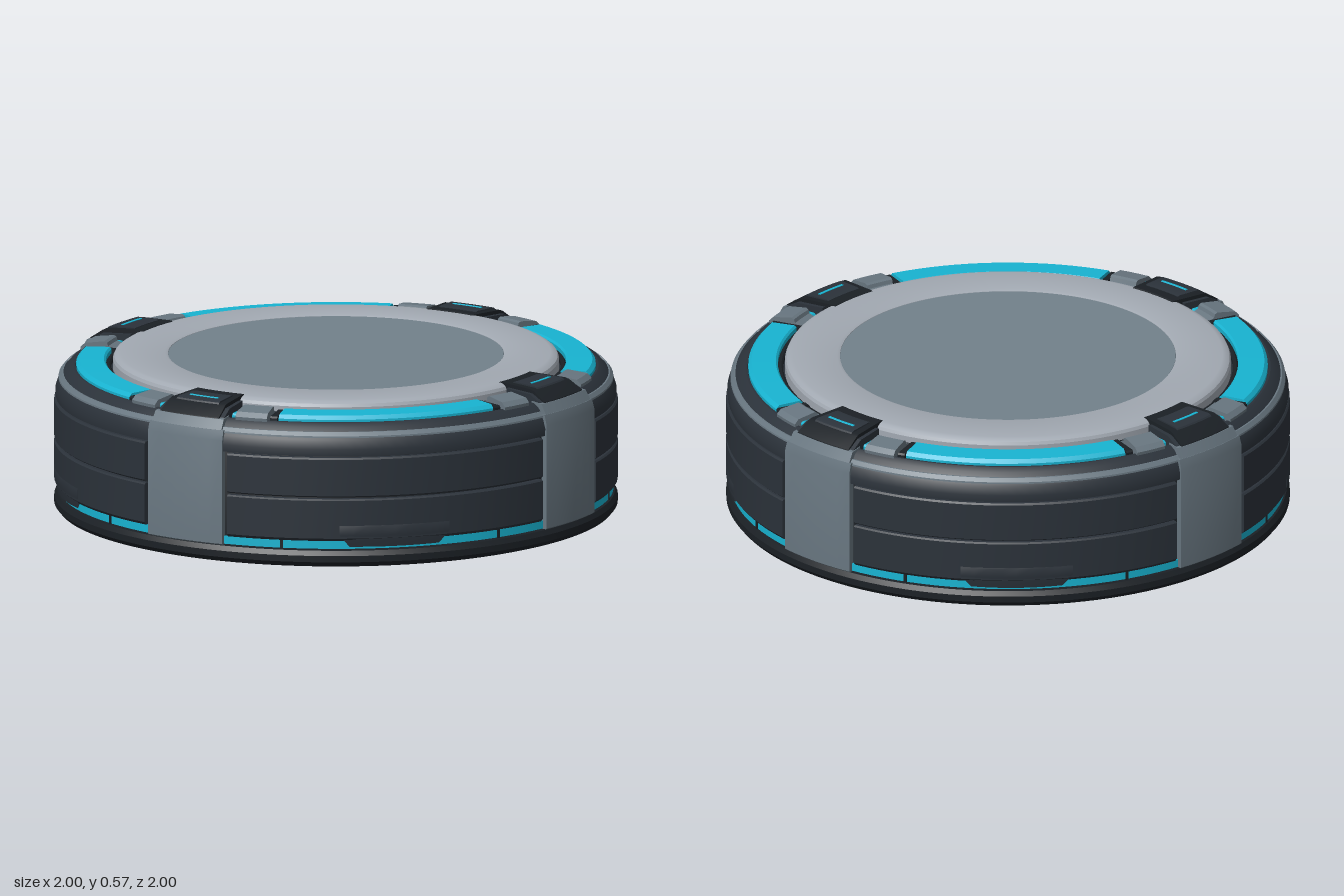
import * as THREE from 'three';
import { toCreasedNormals } from 'three/addons/utils/BufferGeometryUtils.js';

const material = (color) => new THREE.MeshStandardMaterial({ color });
const DARK = material(0x2b323a), BLACK = material(0x1b2025), STEEL = material(0x687680),
  SILVER = material(0xa2a9b2), DISC = material(0x72818b), CYAN = material(0x18b4d2);
const rad = THREE.MathUtils.degToRad;

function mesh(name, geometry, mat) {
  const m = new THREE.Mesh(geometry, mat);
  m.name = name;
  return m;
}

// Full ring or solid of revolution; profile of [radius, height] runs bottom to top
function turned(name, profile, mat) {
  const points = profile.map(([r, y]) => new THREE.Vector2(r, y));
  return mesh(name, toCreasedNormals(new THREE.LatheGeometry(points, 128), 0.4), mat);
}

// Closed [radius, height] profile swept about y; angle is measured from +z, in degrees
function sector(name, profile, angle, half, mat) {
  const shape = new THREE.Shape(profile.map(([r, y]) => new THREE.Vector2(r, y)));
  const sweep = rad(half * 2);
  const geometry = new THREE.ExtrudeGeometry(shape, {
    depth: sweep, steps: Math.max(2, Math.ceil(half / 1.5)), bevelEnabled: false,
  });
  const p = geometry.attributes.position;
  for (let i = 0; i < p.count; i++) {
    const r = p.getX(i), a = rad(angle + half) - p.getZ(i);
    p.setXYZ(i, r * Math.sin(a), p.getY(i), r * Math.cos(a));
  }
  geometry.deleteAttribute('uv');
  return mesh(name, toCreasedNormals(geometry, 0.4), mat);
}

// Rectangular profile with chamfered top edges
const slab = (r0, r1, y0, y1, c = 0.006) =>
  [[r0, y0], [r1, y0], [r1, y1 - c], [r1 - c, y1], [r0 + c, y1], [r0, y1 - c]];

export function createModel() {
  const model = new THREE.Group();

  // Base, core and shoulder
  model.add(
    turned('basePlate', [[0, 0], [0.965, 0], [0.985, 0.006], [0.998, 0.022], [0.998, 0.045],
      [0.988, 0.062], [0.96, 0.066]], BLACK),
    turned('core', [[0.96, 0.06], [0.975, 0.07], [0.975, 0.41], [0.96, 0.45]], BLACK),
    turned('lightBand', [[0.97, 0.068], [0.983, 0.068], [0.983, 0.096], [0.97, 0.096]], CYAN),
    turned('shoulder', [[0.97, 0.405], [0.992, 0.405], [0.994, 0.43], [0.984, 0.462],
      [0.975, 0.478], [0.965, 0.486], [0.952, 0.502], [0.93, 0.514], [0.922, 0.514],
      [0.918, 0.502], [0.7, 0.5]], DARK),
    turned('shoulderTrim', [[0.983, 0.47], [0.982, 0.476], [0.971, 0.489], [0.965, 0.489]], STEEL),
  );

  // Raised top ring and inset disc
  model.add(
    turned('topRing', [[0.79, 0.495], [0.79, 0.538], [0.785, 0.549], [0.773, 0.557],
      [0.76, 0.56], [0.605, 0.56], [0.595, 0.556], [0.592, 0.545]], SILVER),
    turned('centreDisc', [[0.6, 0.545], [0.594, 0.555], [0, 0.555]], DISC),
  );

  for (let i = 0; i < 4; i++) {
    const side = new THREE.Group();
    side.name = 'quarter';
    side.rotation.y = i * Math.PI / 2;
    model.add(side);

    // Wall panels, split by a seam, with a tab over the light band
    side.add(
      sector('upperWallPanel', [[0.96, 0.257], [0.992, 0.257], [0.998, 0.262], [0.998, 0.394],
        [0.992, 0.4], [0.96, 0.4]], 0, 35, DARK),
      sector('lowerWallPanel', [[0.96, 0.098], [0.99, 0.098], [0.998, 0.108], [0.998, 0.245],
        [0.992, 0.25], [0.96, 0.25]], 0, 35, DARK),
    );
    const tab = sector('wallTab', [[0.96, 0.076], [0.992, 0.076], [0.9995, 0.12], [0.9995, 0.15],
      [0.996, 0.16], [0.96, 0.16]], 0, 11.5, DARK);
    // Narrow the tab toward its lower edge
    const p = tab.geometry.attributes.position;
    for (let k = 0; k < p.count; k++) if (p.getY(k) < 0.08) p.setX(k, p.getX(k) * 0.82);
    side.add(tab);
    for (const a of [-23.5, 23.5])
      side.add(sector('lightBandDivider', slab(0.97, 0.987, 0.066, 0.1, 0.002), a, 0.3, BLACK));

    // Long light strip on top, with its dark frame
    side.add(
      sector('topLight', [[0.815, 0.495], [0.92, 0.495], [0.92, 0.522], [0.908, 0.535],
        [0.822, 0.537], [0.815, 0.53]], 0, 25, CYAN),
      sector('lightInnerRim', slab(0.796, 0.815, 0.49, 0.52), 0, 37, BLACK),
    );
    for (const s of [-1, 1]) {
      side.add(
        sector('lightEndStop', slab(0.8, 0.922, 0.495, 0.528), s * 26.1, 0.8, BLACK),
        sector('smallLight', slab(0.822, 0.912, 0.495, 0.526), s * 32, 4, CYAN),
        sector('steelPad', [[0.81, 0.5], [0.935, 0.5], [0.938, 0.522], [0.922, 0.538],
          [0.85, 0.548], [0.84, 0.543], [0.836, 0.53], [0.81, 0.52]], s * 31, 3.6, STEEL),
      );
    }

    // Corner strap, with the top clamp and its light slit
    side.add(
      sector('strap', [[0.93, 0.066], [0.996, 0.066], [1, 0.07], [1, 0.445], [0.99, 0.48],
        [0.93, 0.48]], 45, 9, STEEL),
      sector('strapBevel', [[0.92, 0.475], [0.991, 0.475], [0.968, 0.515], [0.92, 0.52]],
        45, 8.5, STEEL),
      sector('clamp', [[0.745, 0.495], [0.972, 0.495], [0.965, 0.518], [0.915, 0.551],
        [0.9, 0.556], [0.76, 0.563], [0.745, 0.555]], 45, 7.3, BLACK),
      sector('clampPlate', [[0.8, 0.54], [0.92, 0.54], [0.905, 0.558], [0.895, 0.562],
        [0.81, 0.565], [0.8, 0.563]], 45, 5.6, DARK),
      sector('clampSlit', slab(0.857, 0.868, 0.55, 0.5655, 0.001), 45, 4, CYAN),
    );
    for (const s of [-1, 1])
      side.add(sector('clampCheek', [[0.8, 0.495], [0.965, 0.495], [0.955, 0.518],
        [0.91, 0.542], [0.8, 0.548]], 45 + s * 7.6, 0.7, DARK));
  }
  return model;
}
